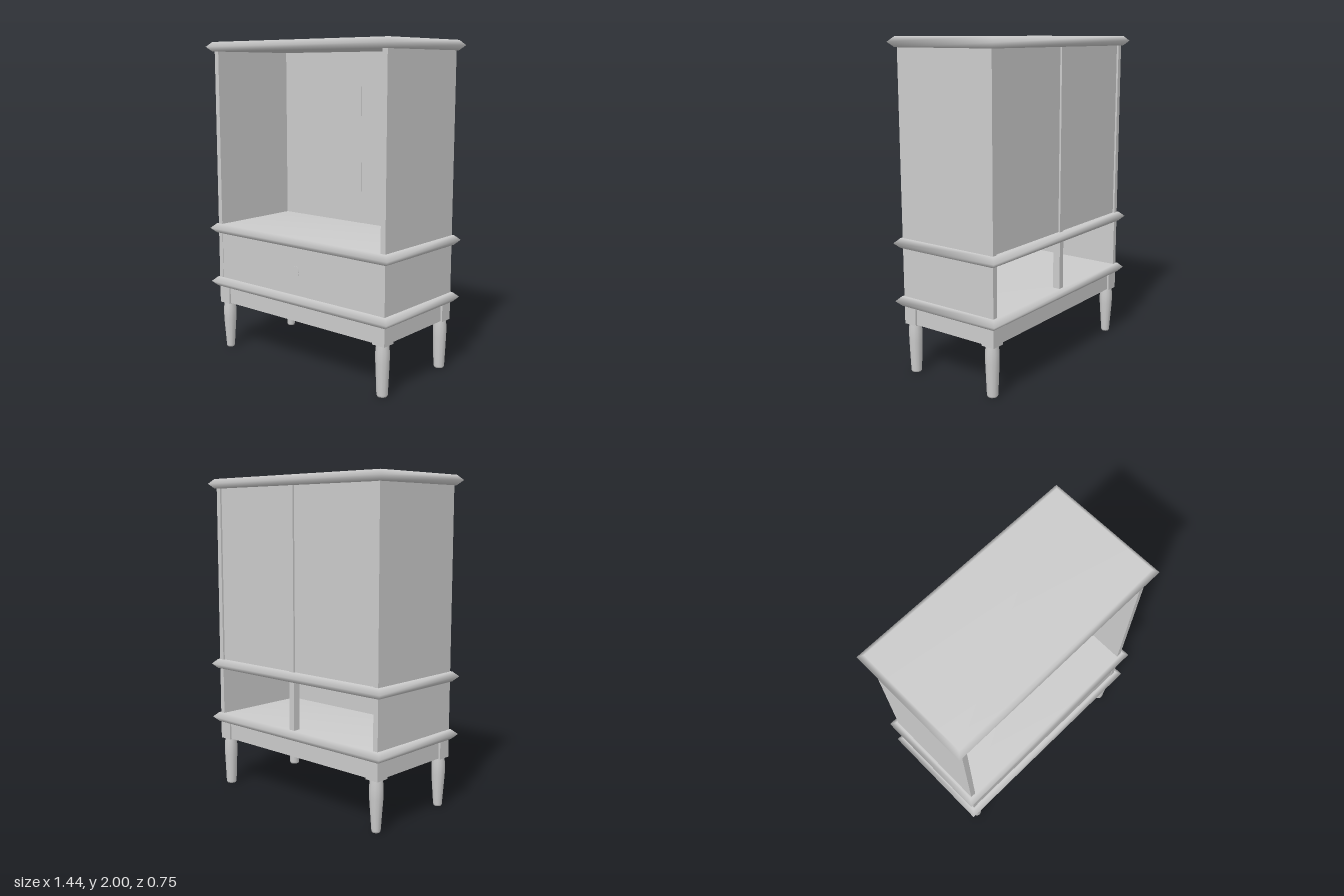
import * as THREE from 'three';
import { mergeVertices } from 'three/addons/utils/BufferGeometryUtils.js';

export function createModel() {
  const model = new THREE.Group();
  model.name = 'cabinet';
  const material = new THREE.MeshStandardMaterial({ color: 0xcccccc });

  function add(name, geometry, x = 0, y = 0, z = 0) {
    const mesh = new THREE.Mesh(geometry, material);
    mesh.name = name;
    mesh.position.set(x, y, z);
    model.add(mesh);
    return mesh;
  }

  // Box given by its minimum and maximum on each axis
  function box(name, x0, x1, y0, y1, z0, z1) {
    return add(name, new THREE.BoxGeometry(x1 - x0, y1 - y0, z1 - z0),
      (x0 + x1) / 2, (y0 + y1) / 2, (z0 + z1) / 2);
  }

  // Board whose rim comes to a soft point at mid height
  function bevelledBoard() {
    const g = new THREE.BoxGeometry(1.436, 0.06, 0.75, 1, 2, 1);
    const p = g.attributes.position;
    for (let i = 0; i < p.count; i++) {
      if (Math.abs(p.getY(i)) > 0.01) {
        p.setX(i, p.getX(i) - Math.sign(p.getX(i)) * 0.03);
        p.setZ(i, p.getZ(i) - Math.sign(p.getZ(i)) * 0.03);
      }
    }
    g.deleteAttribute('normal');
    g.deleteAttribute('uv');
    const smooth = mergeVertices(g);
    smooth.computeVertexNormals();
    return smooth;
  }
  add('lowerBoard', bevelledBoard(), 0, 0.45, 0);
  add('middleBoard', bevelledBoard(), 0, 0.808, 0);
  add('topBoard', bevelledBoard(), 0, 1.97, 0);

  const W = 0.677, D = 0.337, T = 0.033;
  const tiers = [['lower', 0.478, 0.78], ['upper', 0.836, 1.942]];

  // Side panels and central back post of both compartments
  for (const [tier, y0, y1] of tiers) {
    box(tier + 'LeftSide', W - T, W, y0, y1, -D, D);
    box(tier + 'RightSide', -W, -W + T, y0, y1, -D, D);
    box(tier + 'BackPost', -0.019, 0.019, y0, y1, -D, tier === 'upper' ? -0.278 : -0.29);
  }

  // Back panels close the upper compartment only
  box('leftBackPanel', 0.019, W - T, 0.836, 1.942, -0.325, -0.28);
  box('rightBackPanel', -W + T, -0.019, 0.836, 1.942, -0.325, -0.278);

  // Drawer front with a nearly flush knob
  box('drawerFront', -W + T, W - T, 0.478, 0.78, D - T, D - 0.003);
  const knob = add('drawerKnob', new THREE.CylinderGeometry(0.034, 0.034, 0.02, 7), 0, 0.63, D - 0.011);
  knob.rotation.x = Math.PI / 2;

  // Base frame: rails set back between corner blocks
  const B = 0.086, R = 0.012, railT = 0.03;
  for (const s of [-1, 1]) {
    const zc = s * (D - R - railT / 2), xc = s * (W - R - railT / 2);
    box(s > 0 ? 'frontRail' : 'backRail', -W + B, W - B, 0.312, 0.422, zc - railT / 2, zc + railT / 2);
    box(s > 0 ? 'leftRail' : 'rightRail', xc - railT / 2, xc + railT / 2, 0.312, 0.422, -D + B, D - B);
  }

  // Turned legs under the corner blocks; the left pair tapers less
  for (const sx of [-1, 1]) for (const sz of [-1, 1]) {
    const name = (sz > 0 ? 'front' : 'back') + (sx > 0 ? 'Left' : 'Right');
    const x = sx * (W - B / 2), z = sz * (D - B / 2);
    box(name + 'Block', x - B / 2, x + B / 2, 0.308, 0.422, z - B / 2, z + B / 2);
    const foot = sx > 0 ? 0.033 : 0.027;
    const profile = [[0, 0], [foot - 0.004, 0], [foot, 0.01], [0.041, 0.2], [0.042, 0.26], [0.037, 0.31]]
      .map(([r, y]) => new THREE.Vector2(r, y));
    add(name + 'Leg', new THREE.LatheGeometry(profile, 12), x, 0, z);
  }

  return model;
}
